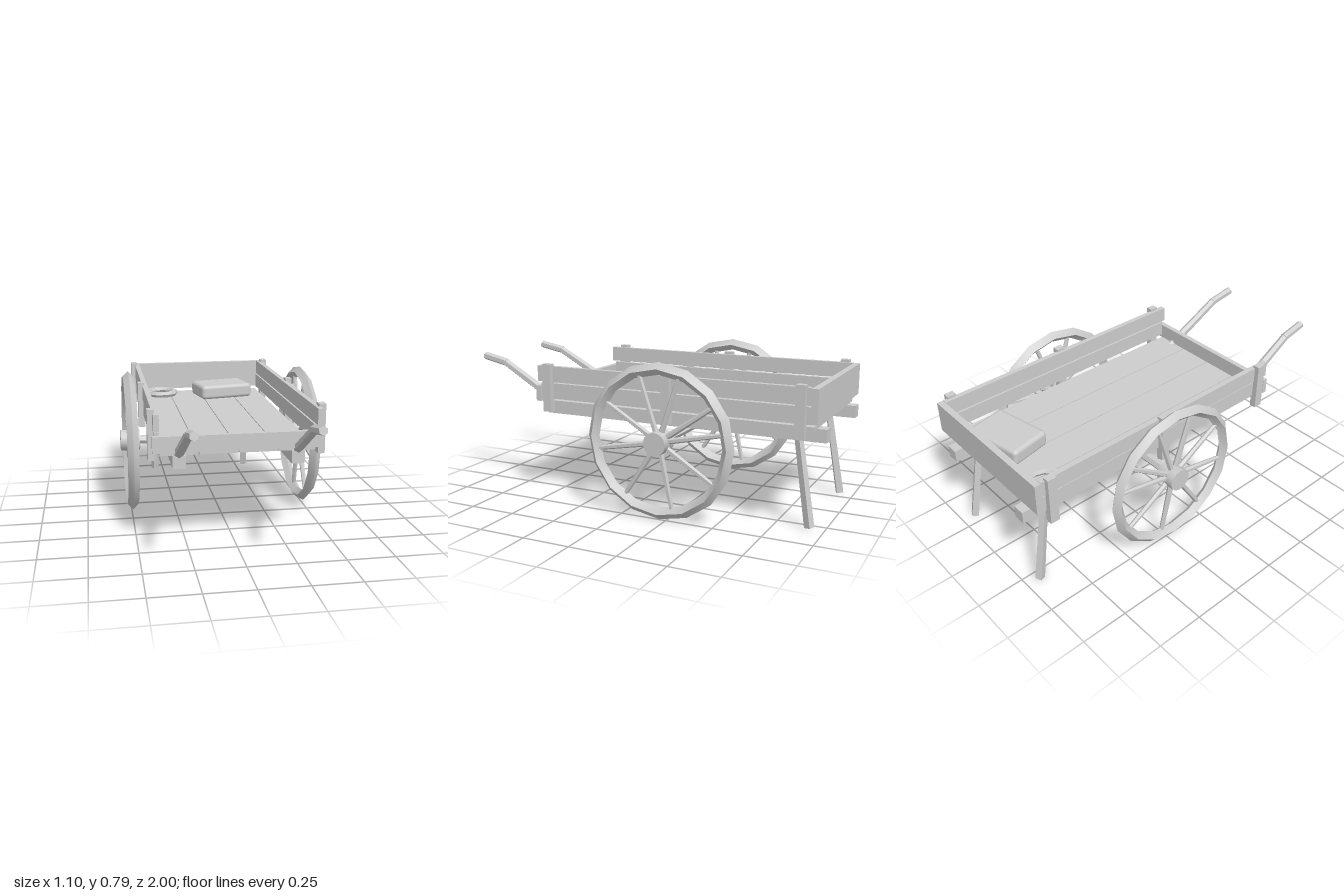
import * as THREE from 'three';
import { toCreasedNormals } from 'three/addons/utils/BufferGeometryUtils.js';
import { RoundedBoxGeometry } from 'three/addons/geometries/RoundedBoxGeometry.js';

export function createModel() {
  const cart = new THREE.Group();
  cart.name = 'handcart';
  const grey = new THREE.MeshStandardMaterial({ color: 0xcccccc });
  grey.name = 'plain grey wood';

  const add = (name, geometry, parent = cart) => {
    const mesh = new THREE.Mesh(geometry, grey);
    mesh.name = name;
    parent.add(mesh);
    return mesh;
  };

  // Box given by its limits on each axis
  const box = (name, [x0, x1], [y0, y1], [z0, z1]) => {
    const mesh = add(name, new THREE.BoxGeometry(x1 - x0, y1 - y0, z1 - z0));
    mesh.position.set((x0 + x1) / 2, (y0 + y1) / 2, (z0 + z1) / 2);
    return mesh;
  };

  // Faceted bar from point a to point b
  const up = new THREE.Vector3(0, 1, 0);
  const bar = (name, a, b, ra, rb, sides, turn = 0, parent = cart) => {
    const from = new THREE.Vector3(...a);
    const to = new THREE.Vector3(...b);
    const span = to.clone().sub(from);
    const geo = new THREE.CylinderGeometry(rb, ra, span.length(), sides);
    geo.rotateY(turn);
    const mesh = add(name, toCreasedNormals(geo, 0.6), parent);
    mesh.position.copy(from).add(to).multiplyScalar(0.5);
    mesh.quaternion.setFromUnitVectors(up, span.normalize());
    return mesh;
  };

  // Floor planks with narrow gaps
  const seams = [-0.39, -0.198, 0, 0.196, 0.387];
  for (let i = 0; i < 4; i++) {
    box('floorPlank', [seams[i] + 0.002, seams[i + 1] - 0.002], [0.512, 0.531], [-0.95, 0.53]);
  }

  // End boards
  box('frontBoard', [-0.425, 0.425], [0.53, 0.613], [0.525, 0.553]);
  box('backBoard', [-0.42, 0.42], [0.55, 0.717], [-0.975, -0.942]);

  const spokeAngles = [72, 35, 12, -32, -78, -123, -169, 149, 108];
  for (const s of [-1, 1]) {
    const range = (a, b) => (s > 0 ? [a, b] : [-b, -a]);

    // Side boards and their posts
    box('upperSideBoard', range(0.39, 0.418), [0.637, 0.72], [-0.942, 0.545]);
    box('lowerSideBoard', range(0.388, 0.415), [0.547, 0.63], [-0.942, 0.525]);
    for (const z of [0.475, -0.215, -0.896]) {
      box('sidePost', range(0.407, 0.443), [0.48, 0.734], [z - 0.024, z + 0.024]);
    }

    // Runner under the floor
    box('runner', range(0.263, 0.328), [0.447, 0.512], [-0.998, 0.545]);

    // Splayed rear leg
    bar('rearLeg', [s * 0.287, 0.47, -0.85], [s * 0.304, 0.014, -0.926], 0.021, 0.025, 4, Math.PI / 4);

    // Bent handle
    bar('handleShaft', [s * 0.297, 0.505, 0.5], [s * 0.285, 0.703, 0.86], 0.025, 0.022, 6);
    bar('handleGrip', [s * 0.285, 0.698, 0.845], [s * 0.281, 0.727, 0.993], 0.022, 0.022, 6);

    // Wheel: diamond-section rim, spokes and hub
    const wheel = new THREE.Group();
    wheel.name = s > 0 ? 'leftWheel' : 'rightWheel';
    wheel.position.set(s * 0.495, 0.402, -0.21);
    cart.add(wheel);
    const rim = new THREE.TorusGeometry(0.366, 0.031, 4, 16);
    rim.rotateY(Math.PI / 2);
    add('rim', toCreasedNormals(rim, 0.6), wheel);
    bar('hub', [-0.054, 0, 0], [0.054, 0, 0], 0.06, 0.06, 12, 0, wheel);
    for (const deg of spokeAngles) {
      const a = THREE.MathUtils.degToRad(deg);
      const dir = [0, Math.sin(a), -Math.cos(a)];
      bar('spoke', dir.map(v => v * 0.04), dir.map(v => v * 0.35), 0.016, 0.012, 6, 0, wheel);
    }
  }

  // Axle
  bar('axle', [-0.47, 0.402, -0.21], [0.47, 0.402, -0.21], 0.025, 0.025, 6);

  // Ring and cushion resting in the bed
  const ring = new THREE.TorusGeometry(0.086, 0.019, 6, 10);
  ring.rotateX(Math.PI / 2);
  add('ring', toCreasedNormals(ring, 0.7)).position.set(-0.257, 0.55, -0.82);

  const cushion = add('cushion', new RoundedBoxGeometry(0.33, 0.086, 0.225, 3, 0.022));
  cushion.position.set(0.125, 0.573, -0.767);
  cushion.rotation.y = 0.2;

  return cart;
}
